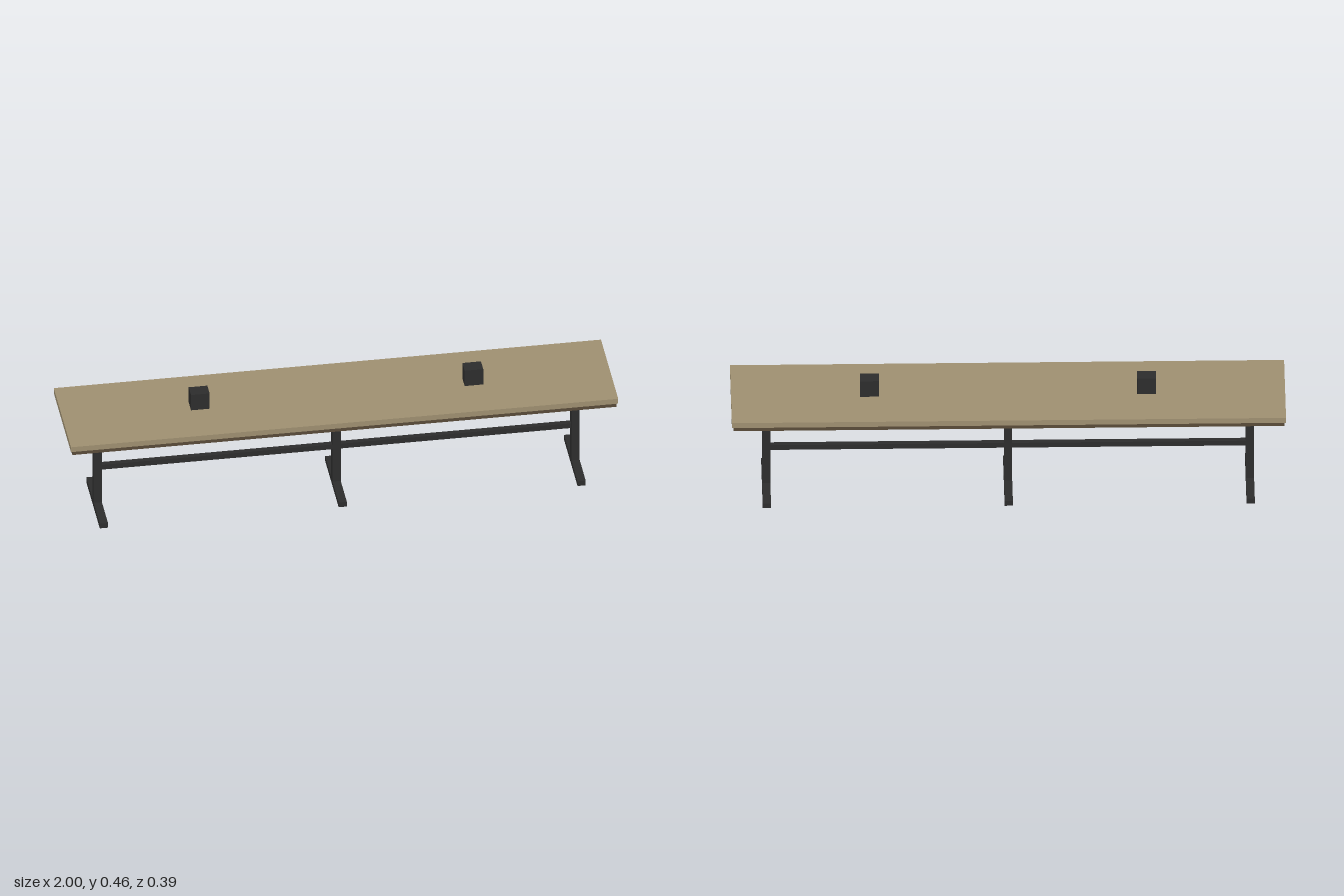
import * as THREE from 'three';

export function createModel() {
  const model = new THREE.Group();
  model.name = 'benchTable';

  const wood = new THREE.MeshStandardMaterial({ color: 0xa09172 });
  wood.name = 'light wood';
  const darkWood = new THREE.MeshStandardMaterial({ color: 0x5a4c39 });
  darkWood.name = 'dark wood';
  const metal = new THREE.MeshStandardMaterial({ color: 0x2d2d2d });
  metal.name = 'black metal';

  // Box given by its size, centre x and bottom height
  const box = (parent, name, material, w, h, d, x, y) => {
    const mesh = new THREE.Mesh(new THREE.BoxGeometry(w, h, d), material);
    mesh.name = name;
    mesh.position.set(x, y + h / 2, 0);
    parent.add(mesh);
  };

  // Top board with a slightly smaller board below it
  box(model, 'tableTop', wood, 2, 0.021, 0.392, 0, 0.369);
  box(model, 'underBoard', darkWood, 1.988, 0.017, 0.38, 0, 0.352);

  // Three T-shaped legs
  for (const x of [-0.873, 0, 0.873]) {
    const leg = new THREE.Group();
    leg.name = 'leg';
    box(leg, 'foot', metal, 0.03, 0.02, 0.308, x, 0);
    box(leg, 'post', metal, 0.03, 0.332, 0.03, x, 0.02);
    model.add(leg);
  }

  // Rail joining the legs
  box(model, 'crossRail', metal, 1.746, 0.02, 0.02, 0, 0.157);

  // Power boxes on the top
  for (const x of [-0.5, 0.5]) {
    box(model, 'powerBox', metal, 0.068, 0.066, 0.052, x, 0.39);
  }

  return model;
}
